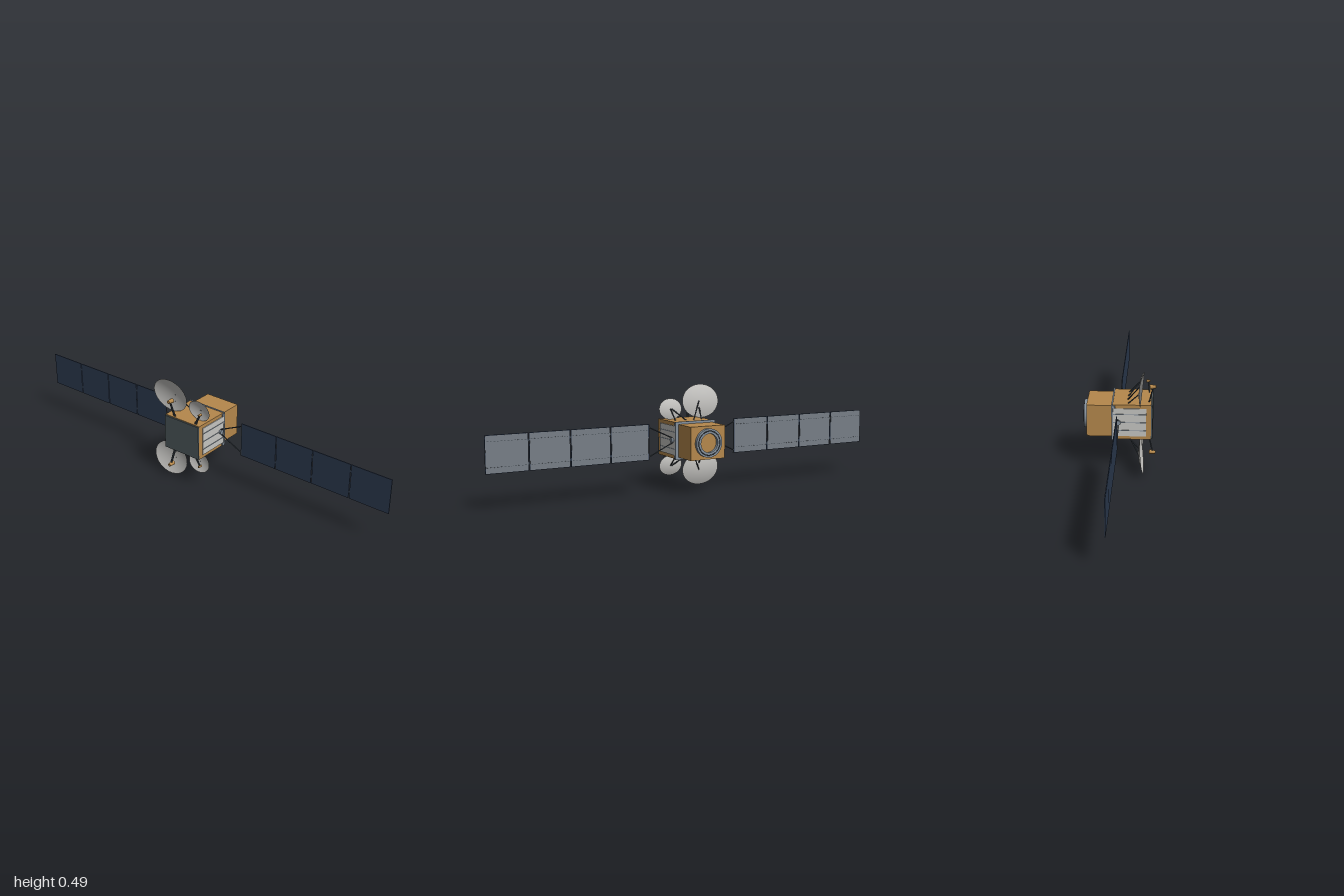
import * as THREE from 'three';

const mat = (name, color, side = THREE.FrontSide) => {
  const m = new THREE.MeshStandardMaterial({ color, side });
  m.name = name;
  return m;
};

export function createModel() {
  const root = new THREE.Group();
  root.name = 'satellite';
  const gold = mat('gold foil', 0xb5884c);
  const white = mat('radiator white', 0xc6c6c2);
  const dishGrey = mat('dish grey', 0xc4c3c0, THREE.DoubleSide);
  const navy = mat('solar cell navy', 0x2c3a50);
  const backGrey = mat('panel back grey', 0x777e86);
  const steel = mat('steel', 0x84909c);
  const dark = mat('dark strut', 0x3c444c);
  const plate = mat('front plate grey', 0x4c575b);
  const CY = 0.25;

  const add = (parent, name, geo, material, x = 0, y = 0, z = 0) => {
    const m = new THREE.Mesh(geo, material);
    m.name = name;
    m.position.set(x, y, z);
    parent.add(m);
    return m;
  };
  const box = (parent, name, w, h, d, material, x, y, z) =>
    add(parent, name, new THREE.BoxGeometry(w, h, d), material, x, y, z);
  const rod = (parent, name, a, b, r, material) => {
    const p = new THREE.Vector3(...a), q = new THREE.Vector3(...b);
    const m = add(parent, name, new THREE.CylinderGeometry(r, r, p.distanceTo(q), 8), material);
    m.position.copy(p).lerp(q, 0.5);
    m.quaternion.setFromUnitVectors(new THREE.Vector3(0, 1, 0), q.sub(p).normalize());
    return m;
  };

  // Main bus, service module and front plate
  const body = new THREE.Group();
  body.name = 'body';
  root.add(body);
  box(body, 'mainBus', 0.2, 0.172, 0.18, gold, 0, CY, 0.057);
  box(body, 'rearModule', 0.18, 0.155, 0.12, gold, 0, CY, -0.092);
  box(body, 'frontPlate', 0.2, 0.166, 0.007, plate, 0, CY, 0.1505);

  // Frame between the two modules
  const frame = new THREE.Shape();
  const fw = 0.106, fh = 0.089;
  frame.moveTo(-fw, -fh).lineTo(fw, -fh).lineTo(fw, fh).lineTo(-fw, fh).closePath();
  const frameHole = new THREE.Path();
  frameHole.moveTo(-0.088, -0.075).lineTo(-0.088, 0.075).lineTo(0.088, 0.075).lineTo(0.088, -0.075).closePath();
  frame.holes.push(frameHole);
  add(body, 'frame', new THREE.ExtrudeGeometry(frame, { depth: 0.007, bevelEnabled: false }), steel, 0, CY, -0.036);

  // Rear docking ring
  const ring = new THREE.Shape().absarc(0, 0, 0.067, 0, Math.PI * 2);
  ring.holes.push(new THREE.Path().absarc(0, 0, 0.044, 0, Math.PI * 2, true));
  add(body, 'rearRing', new THREE.ExtrudeGeometry(ring, { depth: 0.015, bevelEnabled: false, curveSegments: 32 }),
    steel, 0, CY, -0.167);
  add(body, 'rearRingLip', new THREE.TorusGeometry(0.056, 0.003, 6, 40), dark, 0, CY, -0.166);

  // Side radiators with ribs, corner brackets and wing hubs
  for (const s of [-1, 1]) {
    box(body, 'radiator', 0.006, 0.138, 0.154, white, s * 0.101, CY, 0.048);
    for (const dy of [-0.04, 0, 0.04])
      box(body, 'radiatorRib', 0.003, 0.003, 0.154, steel, s * 0.1045, CY + dy, 0.048);
    for (const t of [-1, 1])
      box(body, 'frameBracket', 0.01, 0.014, 0.012, steel, s * 0.101, CY + t * 0.076, -0.026);
    const hub = add(body, 'wingHub', new THREE.CylinderGeometry(0.012, 0.012, 0.012, 8), steel, s * 0.108, CY, -0.004);
    hub.rotation.z = Math.PI / 2;
  }

  // Solar wings: yoke and four panels each
  const x0 = 0.23, pitch = 0.1925, wz = -0.004;
  for (const s of [-1, 1]) {
    const wing = new THREE.Group();
    wing.name = s > 0 ? 'leftWing' : 'rightWing';
    root.add(wing);
    for (const t of [-1, 1])
      rod(wing, 'yokeStrut', [s * 0.106, CY + t * 0.011, wz], [s * 0.228, CY + t * 0.069, wz], 0.0028, dark);
    box(wing, 'yokeBar', 0.004, 0.166, 0.005, dark, s * 0.228, CY, wz);
    for (let i = 0; i < 4; i++) {
      const cx = s * (x0 + pitch * (i + 0.5));
      const w = pitch - (i < 3 ? 0.004 : 0);
      const px = cx - (i < 3 ? s * 0.002 : 0);
      box(wing, 'solarPanel', w, 0.167, 0.004, navy, px, CY, wz + 0.0005);
      box(wing, 'panelBack', w - 0.005, 0.162, 0.001, backGrey, px, CY, wz - 0.002);
      for (const t of [-1, 1]) {
        // Dashed seams on the back
        for (let k = 0; k < 12; k++)
          box(wing, 'backSeam', 0.008, 0.0018, 0.0006, dark, px + (k - 5.5) * 0.0152, CY + t * 0.056, wz - 0.0027);
        if (i < 3) box(wing, 'hinge', 0.006, 0.012, 0.003, dark, s * (x0 + pitch * (i + 1) - 0.002), CY + t * 0.05, wz);
      }
    }
  }

  // Dish antenna with rear struts, feed horn and feed arm; t = 1 above, -1 below
  const antenna = (t, o) => {
    const g = new THREE.Group();
    g.name = o.name;
    root.add(g);
    const Y = (dy) => CY + t * dy;
    const profile = [];
    for (let i = 0; i <= 10; i++) profile.push(new THREE.Vector2(i / 10, (i / 10) ** 2));
    const geo = new THREE.LatheGeometry(profile, 40);
    geo.scale(o.rx, o.depth, o.ry).rotateX(Math.PI / 2);
    const dish = add(g, 'dish', geo, dishGrey, o.x, Y(o.y), o.z);
    dish.rotation.x = t * 0.11;
    for (const [bx, bz, ex, ey] of o.struts)
      rod(g, 'dishStrut', [bx, Y(0.084), bz], [ex, Y(ey), o.z - 0.001], 0.003, dark);
    const [fx, fy, fz] = o.feed, r = o.feedR;
    const horn = add(g, 'feedHorn', new THREE.CylinderGeometry(r * 0.68, r, o.feedL, 16), gold, fx, Y(fy), fz);
    horn.rotation.x = Math.PI / 2 - t * 0.1;
    for (const k of [-1, 1])
      rod(g, 'feedArm', [o.armX + k * 0.004, Y(0.08), 0.136], [fx + k * 0.002, Y(fy - r * 0.6), fz], 0.003, dark);
  };
  for (const t of [1, -1]) {
    antenna(t, {
      name: 'largeAntenna', x: -0.106, y: 0.167, z: 0.091, rx: 0.099, ry: 0.081, depth: 0.015,
      struts: [[-0.03, 0.036, -0.09, 0.168], [-0.075, 0.04, -0.09, 0.135]],
      feed: [-0.065, 0.165, 0.154], feedR: 0.011, feedL: 0.029, armX: -0.052,
    });
    antenna(t, {
      name: 'smallAntenna', x: 0.061, y: 0.136, z: 0.09, rx: 0.06, ry: 0.05, depth: 0.01,
      struts: [[0.01, 0.036, 0.06, 0.136], [0.065, 0.04, 0.066, 0.136]],
      feed: [0.088, 0.134, 0.129], feedR: 0.0065, feedL: 0.018, armX: 0.066,
    });
  }
  return root;
}
